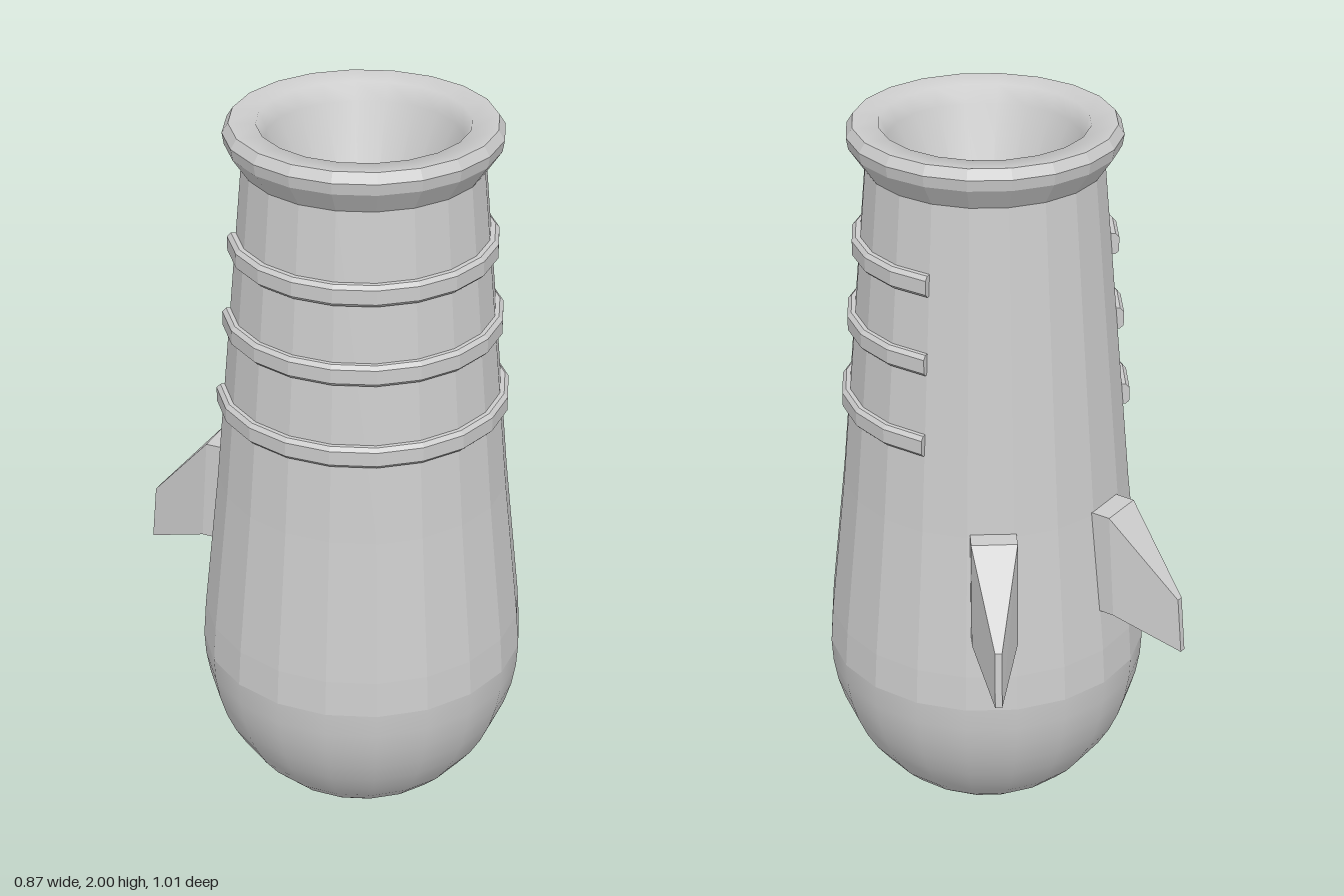
import * as THREE from 'three';

const SIDES = 20;
const AXIS_Z = 0.07; // the round body sits a little ahead of centre
const smooth = new THREE.MeshStandardMaterial({ color: 0xcccccc });
const faceted = new THREE.MeshStandardMaterial({ color: 0xcccccc, flatShading: true });
const band = new THREE.MeshStandardMaterial({ color: 0xcccccc, flatShading: true, side: THREE.DoubleSide });

const toPoints = (list) => list.map(([r, y]) => new THREE.Vector2(r, y));

function lathe(name, profile, material) {
  const mesh = new THREE.Mesh(new THREE.LatheGeometry(toPoints(profile), SIDES), material);
  mesh.name = name;
  return mesh;
}

// Chamfered band around the front, stopping short of the back
function makeBand(name, y, radius) {
  const group = new THREE.Group();
  group.name = name;
  const inner = radius - 0.035, c = 0.01, h = 0.029;
  const outline = toPoints([
    [inner, y - h], [radius - c, y - h], [radius, y - h + c],
    [radius, y + h - c], [radius - c, y + h], [inner, y + h],
  ]);
  const half = THREE.MathUtils.degToRad(126);
  const ring = new THREE.LatheGeometry([...outline, outline[0].clone()], 14, -half, 2 * half);
  group.add(new THREE.Mesh(ring, band));
  for (const angle of [-half, half]) {
    const cap = new THREE.Mesh(new THREE.ShapeGeometry(new THREE.Shape(outline)), band);
    cap.rotation.y = angle - Math.PI / 2;
    group.add(cap);
  }
  return group;
}

// Swept fin: a box in three sections, tapering outwards and down
function makeFin(name, angle) {
  const sections = [
    { bottomR: 0.35, topR: 0.35, half: 0.06, bottom: 0.72, top: 1.01 },
    { bottomR: 0.455, topR: 0.435, half: 0.06, bottom: 0.72, top: 1.01 },
    { bottomR: 0.637, topR: 0.622, half: 0.009, bottom: 0.645, top: 0.8 },
  ];
  const geometry = new THREE.BoxGeometry(1, 1, 1, 1, 1, 2);
  const pos = geometry.attributes.position;
  for (let i = 0; i < pos.count; i++) {
    const s = sections[Math.round((pos.getZ(i) + 0.5) * 2)];
    const isTop = pos.getY(i) > 0;
    pos.setXYZ(i, Math.sign(pos.getX(i)) * s.half, isTop ? s.top : s.bottom, isTop ? s.topR : s.bottomR);
  }
  geometry.computeVertexNormals();
  const mesh = new THREE.Mesh(geometry, faceted);
  mesh.name = name;
  mesh.rotation.y = angle;
  return mesh;
}

export function createModel() {
  const model = new THREE.Group();
  model.name = 'finnedTube';
  const body = new THREE.Group();
  body.name = 'body';
  body.position.z = AXIS_Z;
  model.add(body);

  // Smooth rounded bottom
  const bowl = [];
  for (let i = 0; i <= 12; i++) {
    const a = (i / 12) * Math.PI / 2;
    bowl.push([0.437 * Math.sin(a), 0.5 - 0.495 * Math.cos(a) - 0.005 * (1 - i / 12)]);
  }
  body.add(lathe('roundedBottom', bowl, smooth));

  // Tapering faceted wall
  body.add(lathe('wall', [[0.437, 0.5], [0.43, 0.6], [0.387, 1.0], [0.308, 1.89]], faceted));

  // Flared lip and hollow mouth
  body.add(lathe('rim', [[0.305, 1.88], [0.349, 1.945], [0.354, 1.975], [0.338, 2.0]], faceted));
  body.add(lathe('mouth', [[0.338, 2.0], [0.27, 1.995], [0.25, 1.95], [0.035, 1.45], [0, 1.43]], smooth));

  // Bands
  body.add(makeBand('upperBand', 1.675, 0.347));
  body.add(makeBand('middleBand', 1.465, 0.364));
  body.add(makeBand('lowerBand', 1.245, 0.384));

  // Rear fins
  const finAngle = THREE.MathUtils.degToRad(154);
  body.add(makeFin('leftFin', finAngle));
  body.add(makeFin('rightFin', -finAngle));
  return model;
}
